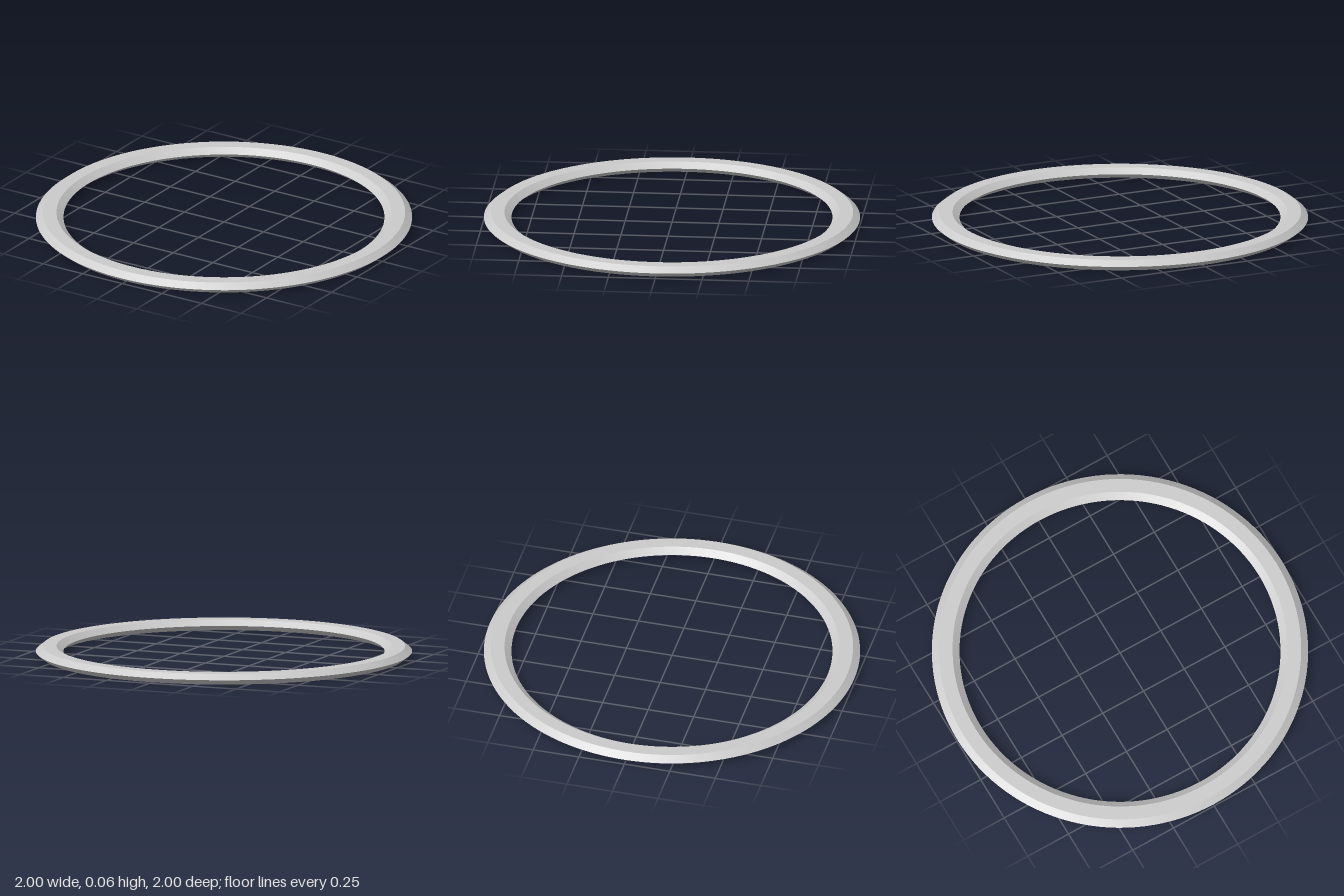
import * as THREE from 'three';
import { toCreasedNormals } from 'three/addons/utils/BufferGeometryUtils.js';

export function createModel() {
  const group = new THREE.Group();
  group.name = 'ring';
  const material = new THREE.MeshStandardMaterial({ color: 0xcccccc });

  // Flattened hexagonal section (radius, height), from the bottom outer edge and around
  const height = 0.057;
  const profile = [
    [0.963, 0], [1, height / 2], [0.963, height],
    [0.89, height], [0.853, height / 2], [0.89, 0], [0.963, 0],
  ].map(([r, y]) => new THREE.Vector2(r, y));

  // Smooth around the ring, sharp along the bevel edges
  const geometry = toCreasedNormals(new THREE.LatheGeometry(profile, 128), 0.3);
  const band = new THREE.Mesh(geometry, material);
  band.name = 'bevelledBand';
  group.add(band);
  return group;
}
